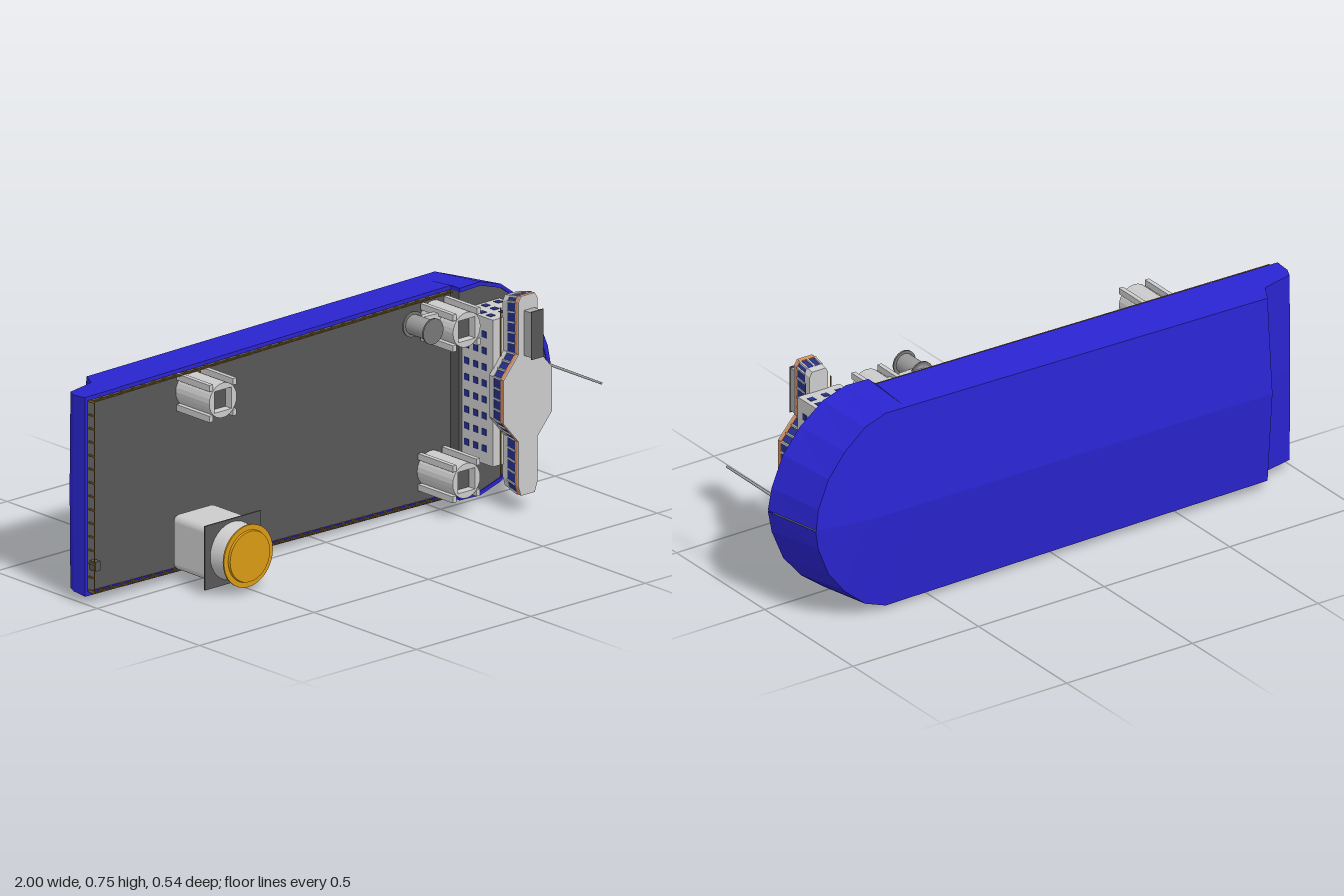
import * as THREE from 'three';
import { RoundedBoxGeometry } from 'three/addons/geometries/RoundedBoxGeometry.js';
import { mergeGeometries } from 'three/addons/utils/BufferGeometryUtils.js';

const BLUE = 0x2a24d0, GREY = 0xcccccc, DARK = 0x575757, GLASS = 0x26308c,
  ORANGE = 0xd98a5a, YELLOW = 0xd99a15, RAIL = 0x8a6a2a;
const YC = 0.37;

// stations along the hull: deck x, half width, deck z, chine x, half width, z, keel x, z
const STATIONS = [
  [-1, 0.342, -0.06, -1, 0.338, -0.115, -1, -0.12],
  [-0.99, 0.343, -0.06, -0.985, 0.337, -0.148, -0.985, -0.152],
  [-0.87, 0.344, -0.06, -0.87, 0.336, -0.175, -0.87, -0.182],
  [-0.83, 0.345, -0.06, -0.835, 0.333, -0.237, -0.83, -0.272],
  [0.6, 0.365, -0.06, 0.6, 0.35, -0.23, 0.6, -0.265],
  [0.6, 0.365, -0.018, 0.6, 0.35, -0.23, 0.6, -0.265],
  [0.69, 0.368, -0.018, 0.68, 0.351, -0.23, 0.69, -0.264],
  [0.78, 0.34, -0.018, 0.76, 0.322, -0.228, 0.78, -0.26],
  [0.87, 0.272, -0.018, 0.84, 0.255, -0.227, 0.85, -0.248],
  [0.94, 0.188, -0.018, 0.905, 0.172, -0.226, 0.91, -0.238],
  [0.985, 0.08, -0.018, 0.945, 0.072, -0.226, 0.946, -0.231],
  [1, 0.002, -0.018, 0.956, 0.002, -0.226, 0.956, -0.229],
];

// skin rows of equal length with quads
function loft(rows) {
  const pos = rows.flat(2), idx = [], n = rows[0].length;
  for (let i = 0; i < rows.length - 1; i++)
    for (let j = 0; j < n - 1; j++) {
      const a = i * n + j, b = a + n;
      idx.push(a, b, a + 1, a + 1, b, b + 1);
    }
  const g = new THREE.BufferGeometry();
  g.setAttribute('position', new THREE.Float32BufferAttribute(pos, 3));
  g.setIndex(idx);
  g.computeVertexNormals();
  return g;
}

function box(w, h, d, x = 0, y = 0, z = 0) {
  return new THREE.BoxGeometry(w, h, d).translate(x, y, z);
}

// cylinder standing on the deck, from z0 to z1
function drum(r0, r1, z0, z1, sides = 24) {
  return new THREE.CylinderGeometry(r1, r0, z1 - z0, sides).rotateX(Math.PI / 2).translate(0, 0, (z0 + z1) / 2);
}

export function createModel() {
  const model = new THREE.Group();
  function add(name, geo, color, x = 0, y = 0, z = 0, parent = model, opts = {}) {
    const mesh = new THREE.Mesh(geo, new THREE.MeshStandardMaterial({ color, ...opts }));
    mesh.name = name;
    mesh.position.set(x, y, z);
    parent.add(mesh);
    return mesh;
  }
  const skin = { flatShading: true, side: THREE.DoubleSide };

  // hull with chine, V bottom and a thin rim
  const rim = 0.014;
  const inner = ([x, w]) => [Math.max(-1 + rim, x > 0.9 ? x - rim : x), Math.max(w - rim, 0.001)];
  add('hull', loft(STATIONS.map((s) => {
    const [x, w, z, xc, wc, zc, xk, zk] = s, [xi, wi] = inner(s);
    return [[xi, YC - wi, z - 0.006], [xi, YC - wi, z], [x, YC - w, z], [xc, YC - wc, zc], [xk, YC, zk],
      [xc, YC + wc, zc], [x, YC + w, z], [xi, YC + wi, z], [xi, YC + wi, z - 0.006]];
  })), BLUE, 0, 0, 0, model, skin);
  const s0 = STATIONS[0];
  add('transom', loft([
    [[-1, YC - s0[1], s0[2]], [-1, YC, s0[2]], [-1, YC + s0[1], s0[2]]],
    [[-1, YC - s0[4], s0[5]], [-1, YC, s0[7]], [-1, YC + s0[4], s0[5]]],
  ]), BLUE, 0, 0, 0, model, skin);
  add('sternRim', box(rim, 0.684, 0.01), BLUE, -1 + rim / 2, YC, -0.065);

  // main deck and raised bow deck
  add('deck', loft(STATIONS.map((s) => {
    const [xi, wi] = inner(s);
    return [[xi, YC - wi, s[2] - 0.004], [xi, YC + wi, s[2] - 0.004]];
  })), DARK, 0, 0, 0, model, skin);

  // railings along both sides and the stern
  const rails = [];
  for (const side of [-1, 1]) {
    const edge = (x) => YC + side * (0.329 + (x + 1) * 0.0135);
    for (let i = 0; i <= 34; i++) {
      const x = -0.98 + i * 0.046;
      rails.push(box(0.005, 0.005, 0.027, x, edge(x), -0.049));
    }
    for (const z of [-0.036, -0.046])
      rails.push(box(1.565, 0.003, 0.003).rotateZ(side * 0.0135).translate(-0.198, edge(-0.198), z));
  }
  for (let i = 0; i <= 14; i++) rails.push(box(0.005, 0.005, 0.027, -0.98, 0.045 + i * 0.0465, -0.049));
  rails.push(box(0.003, 0.65, 0.003, -0.98, YC, -0.036));
  add('railings', mergeGeometries(rails), RAIL);
  add('sternLocker', box(0.022, 0.032, 0.03), DARK, -0.965, 0.13, -0.05);

  // accommodation block with rows of windows
  const house = new THREE.Group();
  house.name = 'accommodation';
  model.add(house);
  add('houseBlock', box(0.165, 0.505, 0.16), GREY, 0.695, 0.4075, 0.05, house);
  const panes = [];
  for (const z of [0.003, 0.046, 0.089]) {
    for (let i = 0; i < 8; i++)
      for (const x of [0.612, 0.778]) panes.push(box(0.004, 0.022, 0.022, x, 0.209 + i * 0.056, z));
    for (const x of [0.64, 0.695, 0.75])
      for (const y of [0.155, 0.66]) panes.push(box(0.022, 0.004, 0.022, x, y, z));
  }
  add('houseWindows', mergeGeometries(panes), GLASS, 0, 0, 0, house);

  // bridge with long wings, flared outwards towards the roof
  const bx = 0.695, by = 0.407;
  const outline = [[0.03, -0.343], [0.041, -0.31], [0.041, -0.155], [0.106, -0.08], [0.106, 0.07], [0.041, 0.145],
    [0.041, 0.325], [0.03, 0.343], [-0.03, 0.343], [-0.041, 0.325], [-0.041, 0.145], [-0.106, 0.07],
    [-0.106, -0.08], [-0.041, -0.155], [-0.041, -0.31], [-0.03, -0.343]].map((p) => new THREE.Vector2(...p));
  function flare(geo) {
    const p = geo.attributes.position;
    for (let i = 0; i < p.count; i++) {
      const t = THREE.MathUtils.clamp((0.2 - p.getZ(i)) / 0.075, 0, 1);
      p.setXY(i, p.getX(i) * (1 - 0.1 * t), p.getY(i) * (1 - 0.045 * t));
    }
    geo.computeVertexNormals();
    return geo;
  }
  const layer = (z0, z1, k = 1) => flare(new THREE.ExtrudeGeometry(
    new THREE.Shape(outline.map((p) => p.clone().multiplyScalar(k))),
    { depth: z1 - z0, bevelEnabled: false }).translate(0, 0, z0));
  const bridge = new THREE.Group();
  bridge.name = 'bridge';
  bridge.position.set(bx, by, 0);
  model.add(bridge);
  add('bridgeWall', layer(0.127, 0.152), GREY, 0, 0, 0, bridge);
  add('bridgeWindows', layer(0.152, 0.192, 0.99), GLASS, 0, 0, 0, bridge);
  add('roofTrim', layer(0.192, 0.205), ORANGE, 0, 0, 0, bridge);
  add('bridgeRoof', layer(0.205, 0.209), GREY, 0, 0, 0, bridge);
  const mullions = [];
  outline.forEach((a, i) => {
    const b = outline[(i + 1) % outline.length], n = Math.max(1, Math.round(a.distanceTo(b) / 0.037));
    for (let k = 0; k < n; k++) {
      const p = a.clone().lerp(b, k / n);
      mullions.push(flare(box(0.007, 0.007, 0.042, p.x * 0.985, p.y * 0.993, 0.172)));
    }
  });
  add('mullions', mergeGeometries(mullions), GREY, 0, 0, 0, bridge);
  for (const x of [-0.05, 0.05])
    for (const y of [-0.19, 0.19]) add('wingRail', box(0.003, 0.2, 0.004), RAIL, x, y, 0.132, bridge);

  // funnel on the roof, mast at the bow
  add('funnel', box(0.046, 0.155, 0.042), 0xaaaaaa, 0.7, 0.622, 0.227);
  add('funnelCap', box(0.052, 0.165, 0.004), DARK, 0.7, 0.622, 0.249);
  add('mast', drum(0.005, 0.004, -0.02, 0.272, 8), 0xaaaaaa, 0.96, 0.4);

  // round pedestals with a square well and four corner lugs
  function pedestal(x, y, top) {
    const g = new THREE.Group();
    g.name = 'pedestal';
    g.position.set(x, y, 0);
    model.add(g);
    const ring = new THREE.Shape().absarc(0, 0, 0.06, 0, Math.PI * 2);
    const q = 0.037;
    ring.holes.push(new THREE.Path([[-q, -q], [-q, q], [q, q], [q, -q]].map((p) => new THREE.Vector2(...p))));
    add('pedestalRing', new THREE.ExtrudeGeometry(ring,
      { depth: top + 0.064, bevelEnabled: false, curveSegments: 12 }).translate(0, 0, -0.064), GREY, 0, 0, 0, g);
    add('wellFloor', box(0.074, 0.074, 0.01), DARK, 0, 0, top - 0.035, g);
    for (const sx of [-1, 1])
      for (const sy of [-1, 1])
        add('lug', box(0.016, 0.022, top + 0.06), GREY, sx * 0.052, sy * 0.053, (top - 0.06) / 2, g);
  }
  pedestal(-0.54, 0.64, 0.1);
  pedestal(0.525, 0.64, 0.1);
  pedestal(0.515, 0.125, 0.11);

  // side drum carried on a tapering arm
  const arm = new THREE.Shape([[0.37, 0.695], [0.37, 0.645], [0.5, 0.6], [0.5, 0.69]].map((p) => new THREE.Vector2(...p)));
  add('drumArm', new THREE.ExtrudeGeometry(arm, { depth: 0.022, bevelEnabled: false }), GREY, 0, 0, 0.006);
  add('sideDrum', drum(0.034, 0.034, 0.01, 0.112), 0x999999, 0.367, 0.673);
  for (const z of [0.01, 0.108]) add('drumFlange', drum(0.044, 0.044, z, z + 0.006), 0x777777, 0.367, 0.673);

  // exhaust-like tower: rounded trunk, square platform, tapered drum and round lid
  const tower = new THREE.Group();
  tower.name = 'tower';
  tower.position.set(-0.53, 0.13, 0);
  model.add(tower);
  add('trunk', new RoundedBoxGeometry(0.185, 0.19, 0.2, 4, 0.025), GREY, 0, 0, 0.036, tower);
  add('platform', box(0.245, 0.22, 0.006), DARK, 0, 0, 0.135, tower);
  add('taperedDrum', drum(0.1, 0.086, 0.137, 0.208, 32), GREY, 0, 0, 0, tower);
  add('lid', drum(0.107, 0.107, 0.207, 0.213, 32), YELLOW, 0, 0, 0, tower);
  add('lidTop', drum(0.089, 0.087, 0.213, 0.221, 32), YELLOW, 0, 0, 0, tower);

  return model;
}
